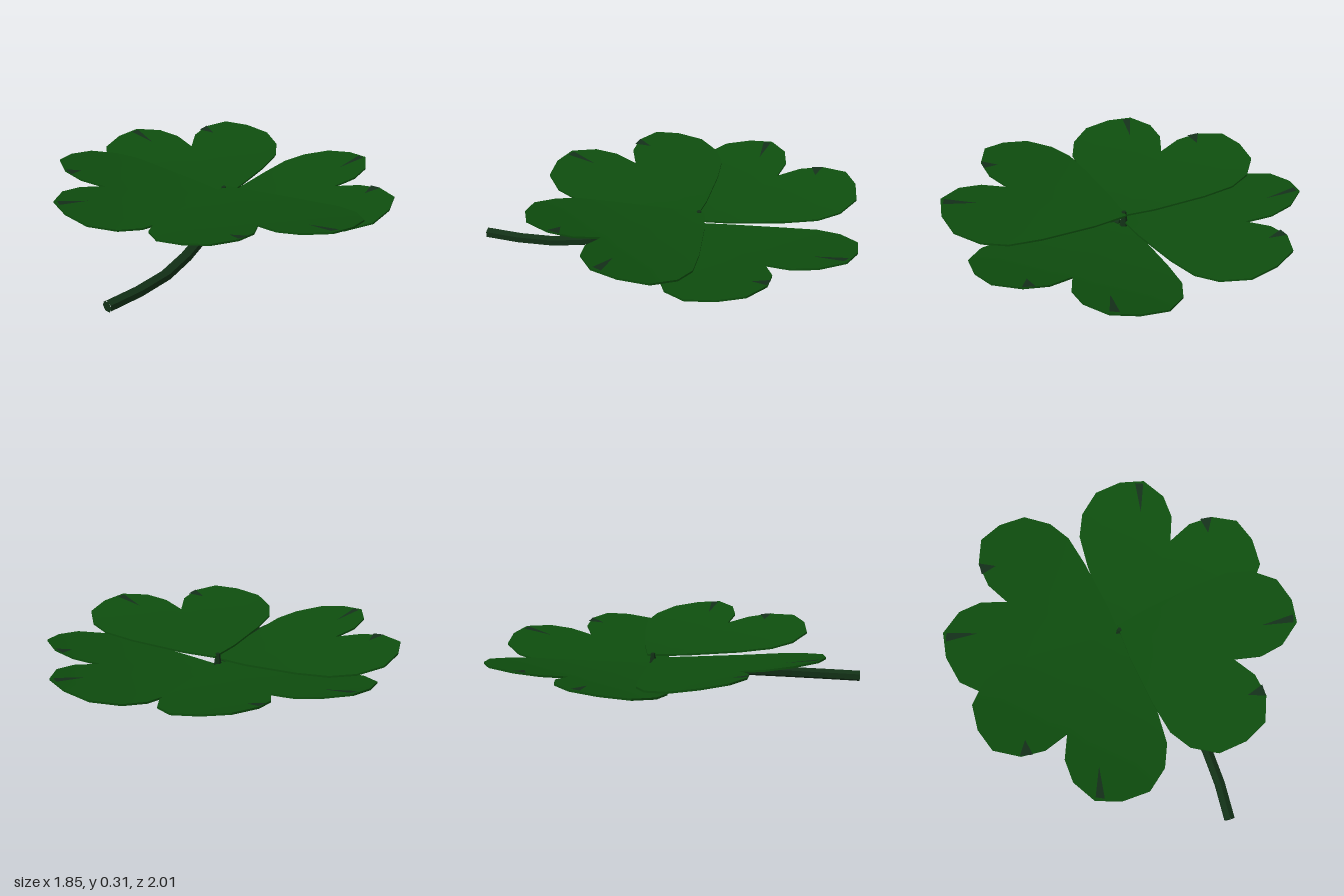
import * as THREE from 'three';
import { toCreasedNormals } from 'three/addons/utils/BufferGeometryUtils.js';

const leafGreen = new THREE.MeshStandardMaterial({ color: 0x0e4d0e });
leafGreen.name = 'leafGreen';
const stemGreen = new THREE.MeshStandardMaterial({ color: 0x123016, flatShading: true });
stemGreen.name = 'stemGreen';
const markGreen = new THREE.MeshStandardMaterial({ color: 0x14301a, side: THREE.DoubleSide });
markGreen.name = 'markGreen';

// Half of the heart outline from tip to notch: u along the midrib, v sideways
const HALF = [
  [0, 0], [0.128, 0.154], [0.338, 0.369], [0.474, 0.488], [0.6, 0.535], [0.749, 0.52],
  [0.86, 0.419], [0.922, 0.295], [0.885, 0.151], [0.797, 0.056], [0.665, 0],
];
const NOTCH = 0.665;
const THICK = 0.01;
const lift = (u) => 0.03 * u + 0.11 * u * u; // leaves curl upward outward

function geometryFrom(triangles) {
  const g = new THREE.BufferGeometry();
  g.setAttribute('position', new THREE.Float32BufferAttribute(triangles.flat(), 3));
  return g;
}

function heartGeometry() {
  const tris = [];
  const steps = 4;
  const tri = (flip, a, b, c) => (flip ? tris.push(a, c, b) : tris.push(a, b, c));
  const quad = (flip, a, b, c, d) => { tri(flip, a, b, c); tri(flip, a, c, d); };
  for (const side of [1, -1]) {
    const flip = side < 0;
    // Point on the strip running from the midrib (j = 0) to the outline (j = steps)
    const at = (i, j, drop) => {
      const t = j / steps;
      const [ou, ov] = HALF[i];
      const su = NOTCH * Math.min(1, i / 6);
      const u = su + (ou - su) * t;
      return [u, lift(u) - drop, ov * t * side];
    };
    for (let i = 0; i < HALF.length - 1; i++) {
      for (let j = 0; j < steps; j++) {
        for (const drop of [0, THICK]) {
          quad(flip !== drop > 0, at(i, j, drop), at(i, j + 1, drop), at(i + 1, j + 1, drop), at(i + 1, j, drop));
        }
      }
      // Rim
      quad(flip, at(i, steps, THICK), at(i + 1, steps, THICK), at(i + 1, steps, 0), at(i, steps, 0));
    }
  }
  return toCreasedNormals(geometryFrom(tris), 0.6);
}

// Thin dark wedge lying on the leaf near its rim
function markGeometry(points) {
  const g = geometryFrom(points.map(([u, v]) => [u, lift(u) + 0.003, v]));
  g.computeVertexNormals();
  return g;
}

export function createModel() {
  const model = new THREE.Group();
  model.name = 'fourLeafClover';
  const add = (parent, name, geometry, material) => {
    const mesh = new THREE.Mesh(geometry, material);
    mesh.name = name;
    parent.add(mesh);
    return mesh;
  };

  // Leaves: name, tip position, heading in degrees from +x towards +z
  const heart = heartGeometry();
  const longMark = markGeometry([[0.75, -0.23], [0.905, -0.29], [0.89, -0.335]]);
  const shortMark = markGeometry([[0.795, 0.176], [0.885, 0.155], [0.848, 0.1]]);
  const leaves = [
    ['frontLeftLeaf', [0, 0.188, -0.2], 42.5],
    ['frontRightLeaf', [0.02, 0.165, -0.155], 139],
    ['backRightLeaf', [0, 0.138, -0.13], 220],
    ['backLeftLeaf', [-0.02, 0.11, -0.13], -41],
  ];
  for (const [name, tip, heading] of leaves) {
    const leaf = new THREE.Group();
    leaf.name = name;
    leaf.position.set(...tip);
    leaf.rotation.y = -THREE.MathUtils.degToRad(heading);
    add(leaf, 'blade', heart, leafGreen);
    add(leaf, 'longRimMark', longMark, markGreen);
    add(leaf, 'shortRimMark', shortMark, markGreen);
    model.add(leaf);
  }

  // Stem: bent six-sided rod with closed ends
  const path = new THREE.CatmullRomCurve3([
    new THREE.Vector3(0.145, 0.032, 0.99), new THREE.Vector3(0.19, 0.037, 0.64),
    new THREE.Vector3(0.13, 0.07, 0.22), new THREE.Vector3(0, 0.102, -0.14),
  ], false, 'centripetal');
  add(model, 'stem', new THREE.TubeGeometry(path, 6, 0.03, 6), stemGreen);
  for (const [name, t, dir] of [['stemFootCap', 0, -1], ['stemTopCap', 1, 1]]) {
    const cap = add(model, name, new THREE.CircleGeometry(0.03, 6), stemGreen);
    cap.position.copy(path.getPoint(t));
    cap.lookAt(cap.position.clone().addScaledVector(path.getTangent(t), dir));
  }

  // Small joint where the leaf tips meet the stem
  const joint = add(model, 'leafJoint', new THREE.CylinderGeometry(0.012, 0.025, 0.1, 6), stemGreen);
  joint.position.set(0, 0.145, -0.17);

  return model;
}
